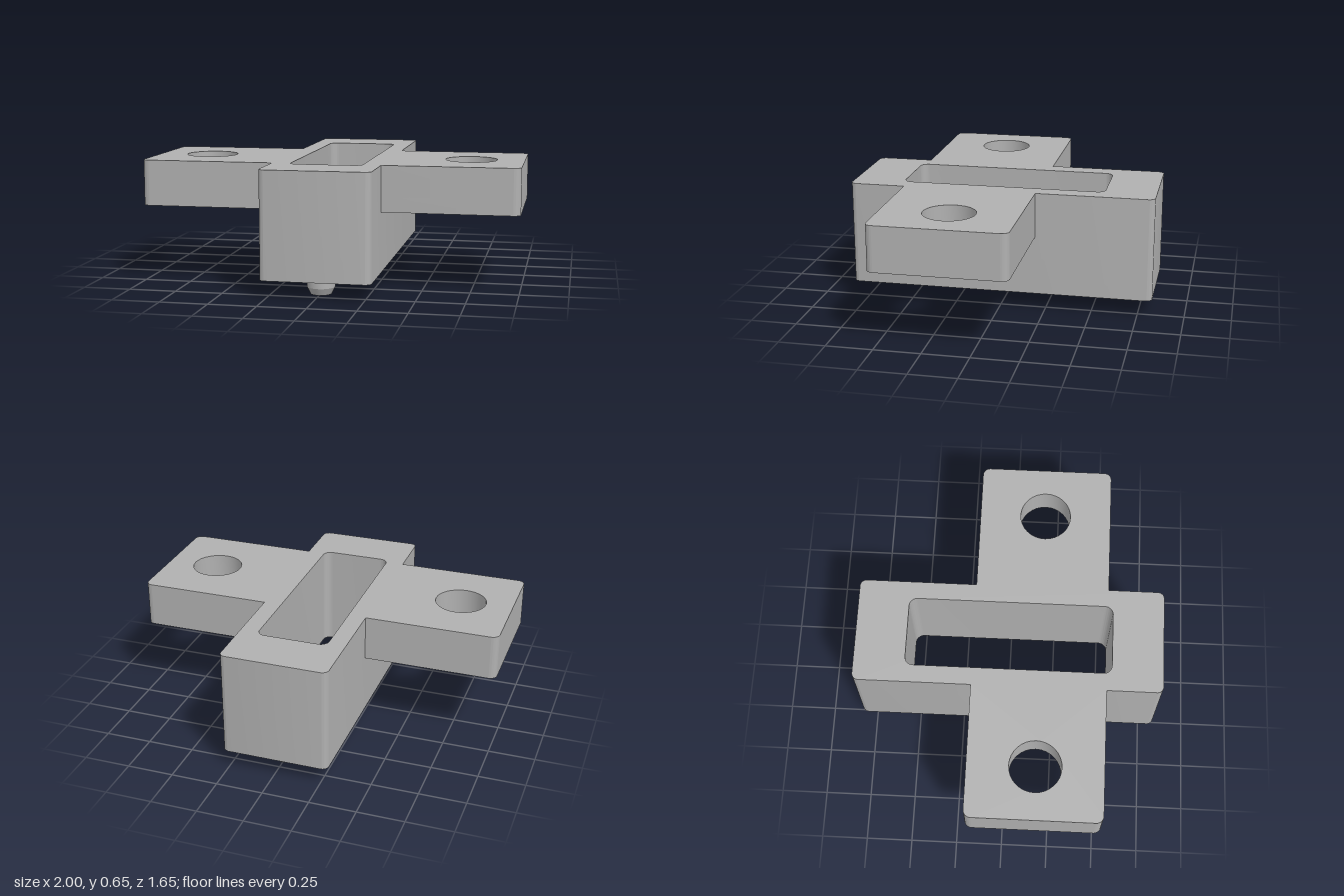
import * as THREE from 'three';
import { toCreasedNormals } from 'three/addons/utils/BufferGeometryUtils.js';

const BOTTOM = 0.09, WING_BOTTOM = 0.41, STEP = 0.49, TOP = 0.653;
const BODY_X = 0.287, BODY_Z = 0.827;
const WING_X = 0.717, WING_Z = 0.166;

// Rectangle centred on the origin; left corners use rl, right corners rr
function roundedRect(path, w, d, rl, rr) {
  const x = w / 2, y = d / 2, q = Math.PI / 2;
  path.moveTo(-x + rl, -y);
  path.lineTo(x - rr, -y);
  if (rr) path.absarc(x - rr, -y + rr, rr, -q, 0);
  path.lineTo(x, y - rr);
  if (rr) path.absarc(x - rr, y - rr, rr, 0, q);
  path.lineTo(-x + rl, y);
  if (rl) path.absarc(-x + rl, y - rl, rl, q, 2 * q);
  path.lineTo(-x, -y + rl);
  if (rl) path.absarc(-x + rl, -y + rl, rl, 2 * q, 3 * q);
  return path;
}

// Extrude a plan outline upward from y0 to y1
function slab(shape, y0, y1) {
  const geo = new THREE.ExtrudeGeometry(shape, {
    depth: y1 - y0, bevelEnabled: false, curveSegments: 16,
  });
  geo.rotateX(-Math.PI / 2);
  geo.translate(0, y0, 0);
  return toCreasedNormals(geo, 0.6);
}

export function createModel() {
  const group = new THREE.Group();
  const grey = new THREE.MeshStandardMaterial({ color: 0xb0b0b0 });
  grey.name = 'grey';

  const add = (name, geo, parent = group) => {
    const mesh = new THREE.Mesh(geo, grey);
    mesh.name = name;
    parent.add(mesh);
    return mesh;
  };

  // Tall body with a slot right through it
  const bodyShape = roundedRect(new THREE.Shape(), BODY_X * 2, BODY_Z * 2, 0.035, 0.035);
  bodyShape.holes.push(roundedRect(new THREE.Path(), 0.382, 1.104, 0.045, 0.045));
  add('body', slab(bodyShape, BOTTOM, TOP));

  // Mounting wings: plain hole above, wider counterbore below
  const wingLayer = (radius, y0, y1) => {
    const shape = roundedRect(new THREE.Shape(), 1 - BODY_X, 0.72, 0, 0.04);
    const hole = new THREE.Path();
    hole.absarc(WING_X - (1 + BODY_X) / 2, 0, radius, 0, Math.PI * 2);
    shape.holes.push(hole);
    return slab(shape, y0, y1);
  };
  const upper = wingLayer(0.138, STEP, TOP);
  const lower = wingLayer(0.193, WING_BOTTOM, STEP);
  for (const side of [1, -1]) {
    const wing = new THREE.Group();
    wing.name = side > 0 ? 'leftWing' : 'rightWing';
    wing.position.set(side * (1 + BODY_X) / 2, 0, WING_Z);
    wing.rotation.y = side > 0 ? 0 : Math.PI;
    add('wingTop', upper, wing);
    add('wingCounterbore', lower, wing);
    group.add(wing);
  }

  // Locating pegs with chamfered tips
  const profile = [[0, 0], [0.054, 0], [0.073, 0.037], [0.073, BOTTOM + 0.005]]
    .map(([r, y]) => new THREE.Vector2(r, y));
  const pegGeo = toCreasedNormals(new THREE.LatheGeometry(profile, 32), 0.35);
  for (const side of [1, -1]) {
    add(side > 0 ? 'frontPeg' : 'backPeg', pegGeo).position.z = side * 0.652;
  }

  return group;
}
